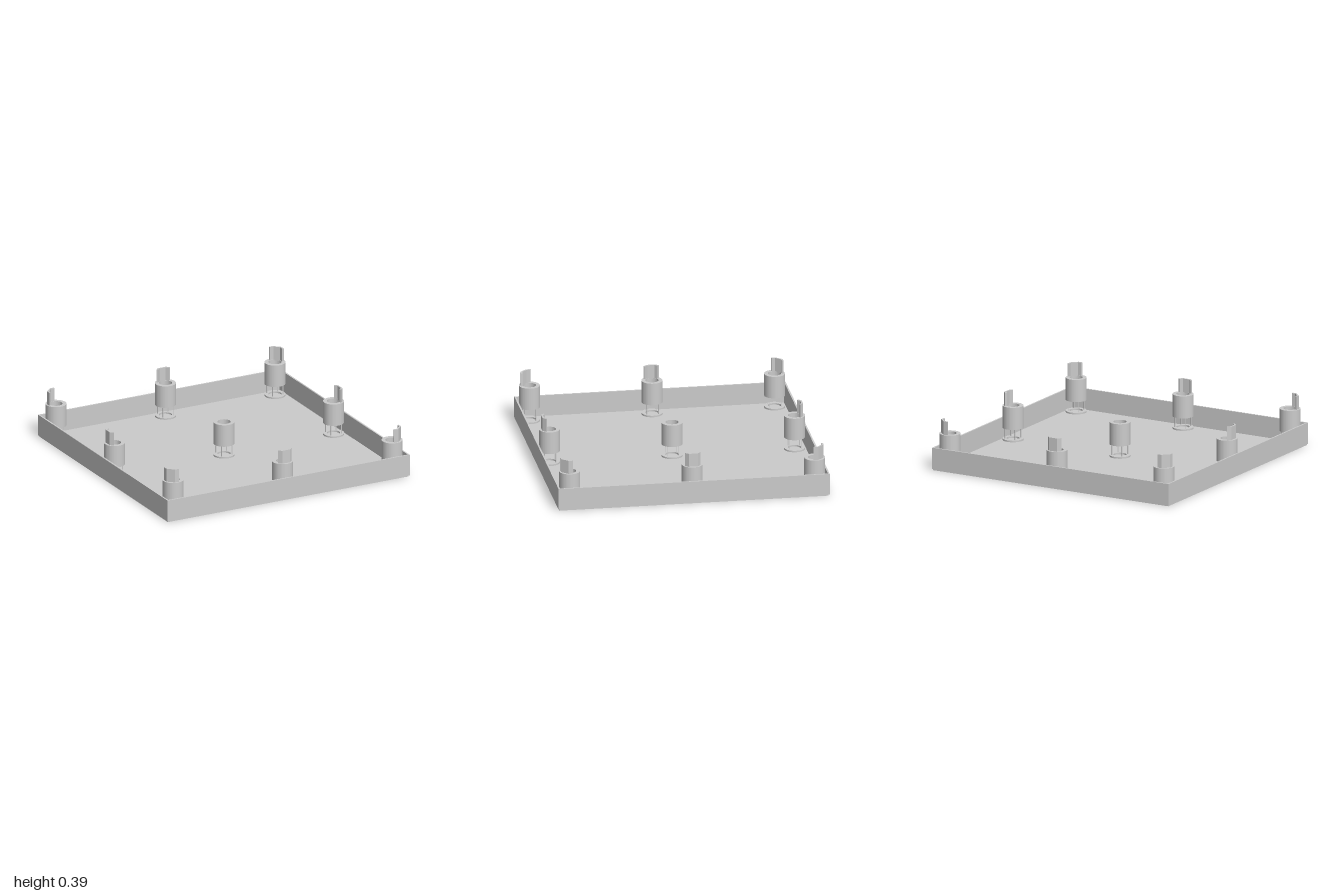
import * as THREE from 'three';

const R_OUT = 0.077, R_IN = 0.048, SPREAD = 0.904;
const material = new THREE.MeshStandardMaterial({ color: 0xcccccc, side: THREE.DoubleSide });
const flatMaterial = new THREE.MeshStandardMaterial({ color: 0xcccccc, flatShading: true, side: THREE.DoubleSide });

function add(parent, name, geometry, mat = flatMaterial) {
  const mesh = new THREE.Mesh(geometry, mat);
  mesh.name = name;
  parent.add(mesh);
  return mesh;
}

// Shape drawn in plan, raised from y0 to y1
function slab(shape, y0, y1) {
  return new THREE.ExtrudeGeometry(shape, { depth: y1 - y0, bevelEnabled: false, curveSegments: 24 })
    .rotateX(-Math.PI / 2).translate(0, y0, 0);
}

function square(Base, h) {
  return new Base([[-h, -h], [h, -h], [h, h], [-h, h]].map(([x, y]) => new THREE.Vector2(x, y)));
}

// Hollow round tube with crisp rims
function tube(y0, y1) {
  const shape = new THREE.Shape().absarc(0, 0, R_OUT, 0, Math.PI * 2);
  shape.holes.push(new THREE.Path().absarc(0, 0, R_IN, 0, Math.PI * 2, true));
  return slab(shape, y0, y1);
}

// Faceted prong wrapping the outward (+z) side
function prong(y0, y1) {
  const at = (r, deg) => new THREE.Vector2(
    r * Math.sin(THREE.MathUtils.degToRad(deg)), -r * Math.cos(THREE.MathUtils.degToRad(deg)));
  const angles = [-60, -30, 30, 60];
  const outer = angles.map(a => at(0.066, a));
  const inner = angles.map(a => at(0.052, a)).reverse();
  return slab(new THREE.Shape([...outer, ...inner]), y0, y1);
}

function createPost(ix, iz) {
  const post = new THREE.Group();
  post.name = 'post';
  add(post, 'floorRing', tube(0.012, 0.024), material);

  const upper = new THREE.Group();
  upper.name = 'upperPost';
  add(upper, 'sleeve', tube(0.105, 0.272), material);
  if (ix || iz) {
    add(upper, 'prong', prong(0.265, 0.372)).rotation.y = Math.atan2(ix, iz);
  }
  // One corner post sits slightly proud of the rest
  if (ix === -1 && iz === 1) upper.position.y = 0.015;
  post.add(upper);

  // Slim legs joining ring and sleeve
  for (let i = 0; i < 4; i++) {
    const a = Math.PI / 4 + i * Math.PI / 2;
    add(post, 'leg', new THREE.CylinderGeometry(0.003, 0.003, 0.1, 6))
      .position.set(0.06 * Math.cos(a), 0.07, 0.06 * Math.sin(a));
  }
  post.position.set(ix * SPREAD, 0, iz * SPREAD);
  return post;
}

export function createModel() {
  const model = new THREE.Group();
  model.name = 'trayWithPosts';

  // Tray: inset base, floor and thin rim walls
  add(model, 'base', slab(square(THREE.Shape, 0.993), 0, 0.012));
  const wall = square(THREE.Shape, 1);
  wall.holes.push(square(THREE.Path, 0.988));
  add(model, 'walls', slab(wall, 0.01, 0.17));

  // Three by three grid of posts
  for (const ix of [-1, 0, 1]) {
    for (const iz of [-1, 0, 1]) model.add(createPost(ix, iz));
  }
  return model;
}
